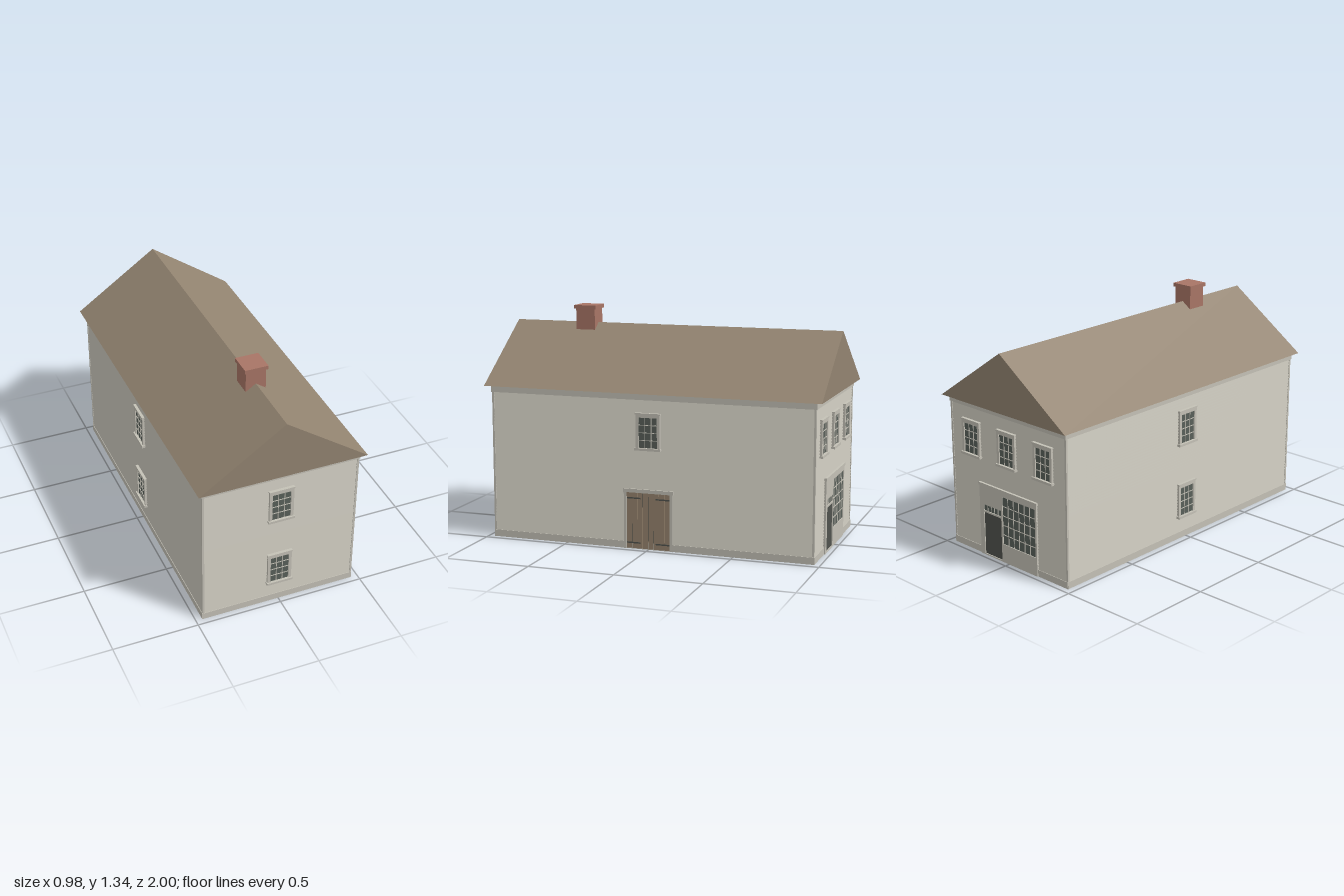
import * as THREE from 'three';

const mat = (name, color) => {
  const m = new THREE.MeshStandardMaterial({ color });
  m.name = name;
  return m;
};

export function createModel() {
  const paint = mat('wall paint', 0xc4c1b6);
  const shingle = mat('roof brown', 0x938471);
  const brick = mat('chimney brick', 0xa87566);
  const glass = mat('window glass', 0x59605a);
  const wood = mat('door wood', 0x97846e);
  const dark = mat('dark door', 0x50524d);

  const house = new THREE.Group();
  house.name = 'house';

  // Box given by its limits on each axis
  const box = (parent, name, material, x0, x1, y0, y1, z0, z1) => {
    const m = new THREE.Mesh(new THREE.BoxGeometry(x1 - x0, y1 - y0, z1 - z0), material);
    m.position.set((x0 + x1) / 2, (y0 + y1) / 2, (z0 + z1) / 2);
    m.name = name;
    parent.add(m);
    return m;
  };

  // Clapboard wall facing local +z; its outer face lies on z = 0
  const EAVE = 0.897, BASE = 0.04, FRIEZE = 0.86, BACK = -0.012;
  const makeWall = (name, half, distance, turn) => {
    const wall = new THREE.Group();
    wall.name = name;
    wall.rotation.y = turn;
    wall.position.set(Math.sin(turn) * distance, 0, Math.cos(turn) * distance);
    house.add(wall);

    const rows = 48, pitch = (FRIEZE - BASE) / rows;
    const profile = new THREE.Shape();
    profile.moveTo(BACK, BASE);
    for (let i = 0; i < rows; i++) {
      profile.lineTo(-0.001, BASE + i * pitch);
      profile.lineTo(-0.006, BASE + (i + 1) * pitch);
    }
    profile.lineTo(BACK, FRIEZE);
    const geo = new THREE.ExtrudeGeometry(profile, { depth: 2 * half - 0.02, bevelEnabled: false });
    geo.translate(0, 0, -half + 0.01).rotateY(-Math.PI / 2);
    const boards = new THREE.Mesh(geo, paint);
    boards.name = 'clapboards';
    wall.add(boards);

    box(wall, 'skirtBoard', paint, -half, half, 0, BASE, BACK, 0.002);
    box(wall, 'friezeBoard', paint, -half - 0.004, half + 0.004, FRIEZE, EAVE, BACK, 0.004);
    for (const s of [-1, 1]) {
      const x = s * (half - 0.006);
      box(wall, 'cornerBoard', paint, x - 0.006, x + 0.006, BASE, FRIEZE, BACK, 0);
    }
    return wall;
  };

  // Glass with a grid of glazing bars
  const glazing = (parent, x0, x1, y0, y1, cols, rows) => {
    box(parent, 'glass', glass, x0, x1, y0, y1, 0, 0.003);
    const b = 0.0018;
    for (let i = 1; i < cols; i++) {
      const x = x0 + (x1 - x0) * i / cols;
      box(parent, 'glazingBar', paint, x - b, x + b, y0, y1, 0.002, 0.006);
    }
    for (let j = 1; j < rows; j++) {
      const y = y0 + (y1 - y0) * j / rows;
      box(parent, 'glazingBar', paint, x0, x1, y - b, y + b, 0.002, 0.006);
    }
  };

  // Sash window with casing, head and sill, y being the sill's underside
  const addWindow = (wall, x, y) => {
    const w = new THREE.Group();
    w.name = 'window';
    w.position.set(x, y, 0);
    wall.add(w);
    glazing(w, -0.055, 0.055, 0.014, 0.187, 3, 4);
    for (const s of [-1, 1])
      box(w, 'casing', paint, s * 0.0635 - 0.0085, s * 0.0635 + 0.0085, 0.008, 0.204, -0.006, 0.01);
    box(w, 'head', paint, -0.055, 0.055, 0.187, 0.204, -0.006, 0.01);
    box(w, 'headCap', paint, -0.075, 0.075, 0.204, 0.213, -0.006, 0.013);
    box(w, 'sill', paint, -0.077, 0.077, 0, 0.014, -0.006, 0.018);
  };

  const UP = 0.574, LOW = 0.128;
  const front = makeWall('frontWall', 0.46, 0.964, 0);
  const back = makeWall('backWall', 0.46, 0.964, Math.PI);
  const left = makeWall('leftWall', 0.964, 0.46, Math.PI / 2);
  const right = makeWall('rightWall', 0.964, 0.46, -Math.PI / 2);
  for (const wall of [front, right]) {
    addWindow(wall, 0, UP);
    addWindow(wall, 0, LOW);
  }
  addWindow(left, 0, UP);
  for (const x of [-0.287, 0, 0.287]) addWindow(back, x, UP);

  // Double plank door with strap hinges
  const barn = new THREE.Group();
  barn.name = 'plankDoor';
  left.add(barn);
  box(barn, 'doorBacking', dark, -0.13, 0.13, 0, 0.328, -0.006, 0.001);
  const plank = 0.26 / 8;
  for (let i = 0; i < 8; i++) {
    const x = -0.13 + i * plank;
    box(barn, 'plank', wood, x + 0.001, x + plank - 0.001, 0.004, 0.328, 0, 0.004);
  }
  for (const s of [-1, 1]) {
    box(barn, 'doorCasing', paint, s * 0.138 - 0.008, s * 0.138 + 0.008, 0, 0.328, -0.006, 0.007);
    for (const y of [0.036, 0.296])
      box(barn, 'strapHinge', dark, s * 0.087 - 0.041, s * 0.087 + 0.041, y - 0.004, y + 0.004, 0.003, 0.006);
  }
  box(barn, 'doorHead', paint, -0.149, 0.149, 0.328, 0.349, -0.006, 0.008);

  // Shopfront on the back wall
  const shop = new THREE.Group();
  shop.name = 'shopfront';
  back.add(shop);
  const strip = (n, x0, x1, y0, y1) => box(shop, n, paint, x0, x1, y0, y1, -0.006, 0.008);
  strip('shopPost', -0.23, -0.197, 0, 0.42);
  strip('shopPost', -0.055, -0.044, 0, 0.42);
  strip('shopPost', 0.218, 0.23, 0, 0.42);
  strip('panelOverDoor', -0.197, -0.055, 0.308, 0.42);
  strip('panelOverWindow', -0.044, 0.218, 0.395, 0.42);
  strip('panelUnderWindow', -0.044, 0.218, 0, 0.11);
  strip('transomRail', -0.197, -0.055, 0.262, 0.272);
  box(shop, 'shopCornice', paint, -0.234, 0.234, 0.42, 0.436, -0.006, 0.012);
  box(shop, 'shopDoor', dark, -0.197, -0.055, 0.008, 0.262, -0.006, 0.003);
  box(shop, 'doorStep', paint, -0.197, -0.055, 0, 0.008, -0.006, 0.008);
  glazing(shop, -0.197, -0.055, 0.272, 0.308, 5, 1);
  glazing(shop, -0.044, 0.218, 0.11, 0.395, 6, 5);

  // Roof prism with solid gables
  const gable = new THREE.Shape();
  gable.moveTo(-0.491, EAVE);
  gable.lineTo(0.491, EAVE);
  gable.lineTo(0, 1.237);
  const roofGeo = new THREE.ExtrudeGeometry(gable, { depth: 2, bevelEnabled: false });
  roofGeo.translate(0, 0, -1);
  const roof = new THREE.Mesh(roofGeo, shingle);
  roof.name = 'roof';
  house.add(roof);

  // Chimney
  box(house, 'chimney', brick, -0.059, 0.059, 1.15, 1.32, 0.481, 0.599);
  box(house, 'chimneyCap', brick, -0.068, 0.068, 1.318, 1.34, 0.472, 0.608);

  return house;
}
